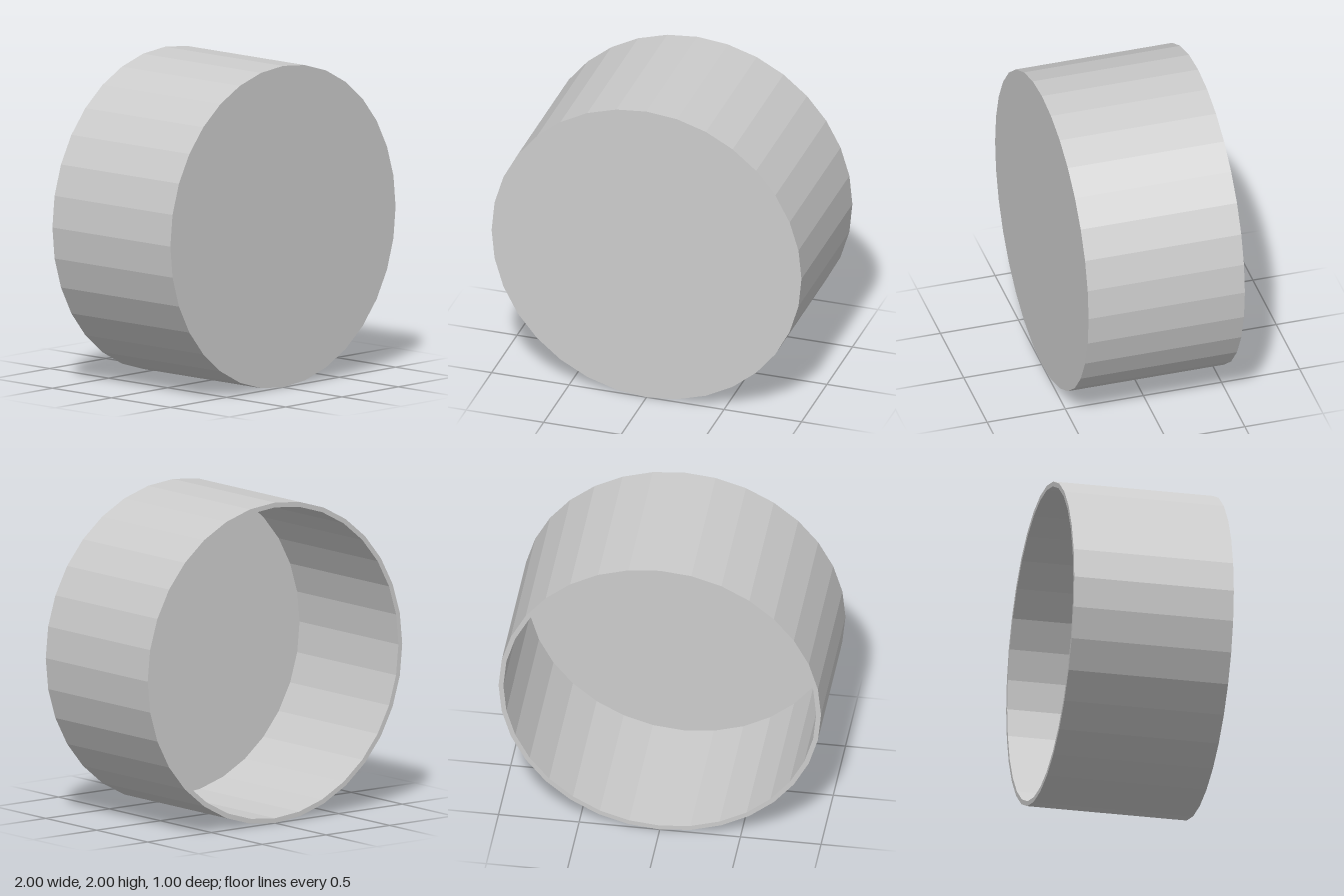
import * as THREE from 'three';

const RADIUS = 1, HALF_DEPTH = 0.5, WALL = 0.03, SIDES = 32;

export function createModel() {
  const group = new THREE.Group();
  group.name = 'roundCap';

  // Closed profile: inner floor, inner wall, open rim, outer wall, front face
  const inner = RADIUS - WALL;
  const profile = [
    [0, HALF_DEPTH - WALL],
    [inner, HALF_DEPTH - WALL],
    [inner, -HALF_DEPTH],
    [RADIUS, -HALF_DEPTH],
    [RADIUS, HALF_DEPTH],
    [0, HALF_DEPTH],
  ].map(([r, h]) => new THREE.Vector2(r, h));

  // Faceted cup, closed at the front (+z) and open at the back
  const geometry = new THREE.LatheGeometry(profile, SIDES)
    .rotateX(Math.PI / 2)
    .translate(0, RADIUS, 0)
    .toNonIndexed();
  geometry.computeVertexNormals();

  const material = new THREE.MeshStandardMaterial({ color: 0xcccccc, flatShading: true });
  const cup = new THREE.Mesh(geometry, material);
  cup.name = 'cupShell';
  group.add(cup);
  return group;
}
